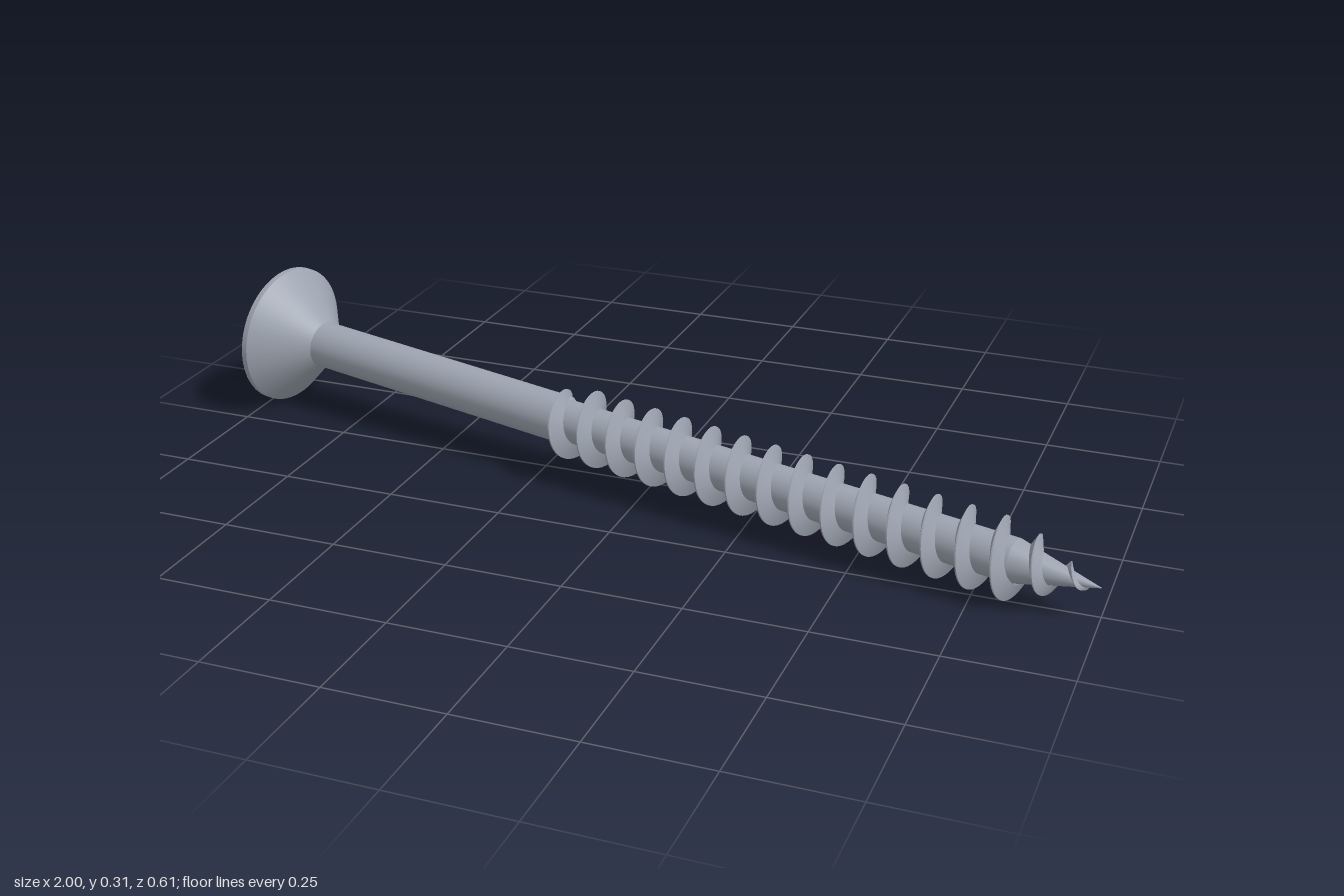
import * as THREE from 'three';

const LENGTH = 2.012, PITCH = 0.0728;
const HEAD_R = 0.1565, SHANK_R = 0.052, CORE_R = 0.045, THREAD_R = 0.08;
const THREAD_START = 0.765, THREAD_END = 1.985, TAPER = 1.835;

// The screw is built along local -y: s is the distance from the head face
const coreRadius = (s) => s < TAPER ? CORE_R : CORE_R * Math.max(0, (LENGTH - s) / (LENGTH - TAPER));

// Strip of quads between two curves; a(i) and b(i) return [x, y, z]
function ribbon(count, a, b) {
  const pos = [], index = [];
  for (let i = 0; i <= count; i++) {
    pos.push(...a(i), ...b(i));
    if (i < count) {
      const k = i * 2;
      index.push(k, k + 1, k + 2, k + 1, k + 3, k + 2);
    }
  }
  const g = new THREE.BufferGeometry();
  g.setAttribute('position', new THREE.Float32BufferAttribute(pos, 3));
  g.setIndex(index);
  g.computeVertexNormals();
  return g;
}

// Driver recess outline: four wide arms with narrow diagonal notches between
function recessOutline(scale) {
  const pts = [];
  const quarter = [
    [0.078, -0.015], [0.078, 0.015], [0.034, 0.017],
    [0.042, 0.032], [0.032, 0.042], [0.017, 0.034],
  ];
  for (let q = 0; q < 4; q++) {
    const c = Math.round(Math.cos(q * Math.PI / 2)), n = Math.round(Math.sin(q * Math.PI / 2));
    for (const [x, y] of quarter) {
      pts.push(new THREE.Vector2((x * c - y * n) * scale, (x * n + y * c) * scale));
    }
  }
  return pts;
}

export function createModel() {
  const model = new THREE.Group();
  const screw = new THREE.Group();
  screw.name = 'screw';
  model.add(screw);

  const steel = new THREE.MeshStandardMaterial({ color: 0x9ca3af, side: THREE.DoubleSide });
  steel.name = 'steel';

  function add(name, geometry) {
    const mesh = new THREE.Mesh(geometry, steel);
    mesh.name = name;
    screw.add(mesh);
    return mesh;
  }
  // Profile points are [radius, s], listed from the tip end to the head end
  const lathe = (name, pts) =>
    add(name, new THREE.LatheGeometry(pts.map(([r, s]) => new THREE.Vector2(r, -s)), 64));

  // Head, shank and core
  lathe('headRim', [[HEAD_R, 0.013], [HEAD_R, 0]]);
  lathe('headCone', [[SHANK_R, 0.112], [HEAD_R, 0.013]]);
  lathe('shank', [[SHANK_R, 0.785], [SHANK_R, 0.11]]);
  lathe('shankShoulder', [[CORE_R, 0.795], [SHANK_R, 0.785]]);
  lathe('threadCore', [[CORE_R, TAPER], [CORE_R, 0.79]]);
  lathe('tipCone', [[0.0005, LENGTH], [CORE_R, TAPER]]);

  // Flat head face with the recess cut out
  const DEPTH = 0.075, FLOOR_SCALE = 0.55;
  const face = new THREE.Shape();
  face.absarc(0, 0, HEAD_R, 0, Math.PI * 2, false);
  face.holes.push(new THREE.Path(recessOutline(1).reverse()));
  add('headFace', new THREE.ShapeGeometry(face, 64).rotateX(-Math.PI / 2));

  const top = recessOutline(1), bottom = recessOutline(FLOOR_SCALE);
  const n = top.length;
  const walls = ribbon(n,
    (i) => [top[i % n].x, 0, -top[i % n].y],
    (i) => [bottom[i % n].x, -DEPTH, -bottom[i % n].y]).toNonIndexed();
  walls.computeVertexNormals();
  add('recessWalls', walls);
  const floor = add('recessFloor', new THREE.ShapeGeometry(new THREE.Shape(bottom)).rotateX(-Math.PI / 2));
  floor.position.y = -DEPTH;

  // Right-hand helical thread: two flanks and a narrow crest
  const steps = Math.round((THREAD_END - THREAD_START) / PITCH * 48);
  function helix(side, isCrest) {
    return (i) => {
      const s = THREAD_START + (THREAD_END - THREAD_START) * i / steps;
      const angle = (s - 0.856) / PITCH * Math.PI * 2;
      const core = coreRadius(s);
      const ramp = Math.min(1, 0.25 + (s - THREAD_START) / (PITCH * 0.6));
      const outer = s < TAPER ? THREAD_R
        : THREAD_R * (1 - (s - TAPER) / (LENGTH - TAPER));
      const height = (outer - core) * ramp;
      const r = isCrest ? core + height : Math.max(0.0005, core - 0.002);
      const half = (isCrest ? 0.0015 : 0.016) * Math.min(1, height / (THREAD_R - CORE_R) + 0.15);
      return [-r * Math.sin(angle), -(s + side * half), r * Math.cos(angle)];
    };
  }
  add('threadUpperFlank', ribbon(steps, helix(-1, true), helix(-1, false)).scale(1, 1, 1));
  add('threadCrest', ribbon(steps, helix(1, true), helix(-1, true)));
  add('threadLowerFlank', ribbon(steps, helix(1, false), helix(1, true)));

  // Lay the screw on its head rim and thread
  const headEnd = new THREE.Vector3(-0.967, 0.157, -0.152);
  const tipEnd = new THREE.Vector3(1.0, 0.072, 0.27);
  const yAxis = headEnd.clone().sub(tipEnd).normalize();
  const zAxis = new THREE.Vector3(0, 1, 0).addScaledVector(yAxis, -yAxis.y).normalize();
  const xAxis = new THREE.Vector3().crossVectors(yAxis, zAxis);
  screw.quaternion.setFromRotationMatrix(new THREE.Matrix4().makeBasis(xAxis, yAxis, zAxis));
  screw.position.copy(headEnd);
  return model;
}
